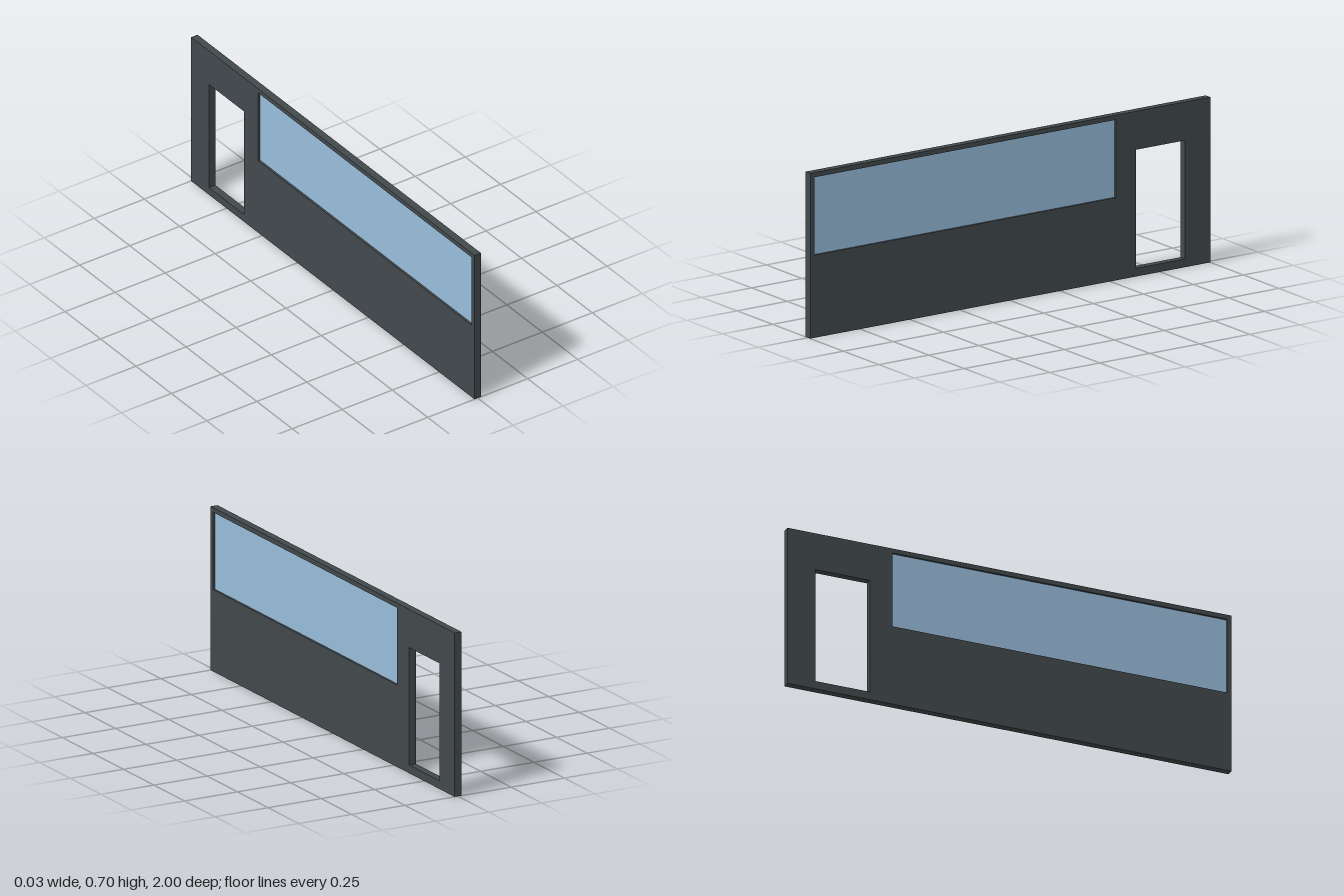
import * as THREE from 'three';

const THICKNESS = 0.032;
const GLASS_THICKNESS = 0.014;

// Rectangles in the plane of the wall: u runs along -z, v is up
const WALL = { u0: -1, u1: 1, v0: 0, v1: 0.7 };
const WINDOW = { u0: -0.98, u1: 0.528, v0: 0.35, v1: 0.68 };
const DOORWAY = { u0: 0.628, u1: 0.874, v0: 0.035, v1: 0.537 };

function outline(path, { u0, u1, v0, v1 }) {
  path.moveTo(u0, v0);
  path.lineTo(u1, v0);
  path.lineTo(u1, v1);
  path.lineTo(u0, v1);
  path.closePath();
  return path;
}

export function createModel() {
  const group = new THREE.Group();
  group.name = 'wallPanel';

  // Solid wall with a window opening and a doorway cut through it
  const shape = outline(new THREE.Shape(), WALL);
  for (const opening of [WINDOW, DOORWAY]) {
    shape.holes.push(outline(new THREE.Path(), opening));
  }
  const wallGeometry = new THREE.ExtrudeGeometry(shape, { depth: THICKNESS, bevelEnabled: false });
  wallGeometry.translate(0, 0, -THICKNESS / 2);
  wallGeometry.rotateY(Math.PI / 2);
  const wall = new THREE.Mesh(wallGeometry, new THREE.MeshStandardMaterial({ color: 0x42494c }));
  wall.name = 'wall';
  group.add(wall);

  // Glass pane set back from both wall faces
  const { u0, u1, v0, v1 } = WINDOW;
  const glass = new THREE.Mesh(
    new THREE.BoxGeometry(GLASS_THICKNESS, v1 - v0, u1 - u0),
    new THREE.MeshStandardMaterial({ color: 0x99bddb })
  );
  glass.position.set(0, (v0 + v1) / 2, -(u0 + u1) / 2);
  glass.name = 'windowGlass';
  group.add(glass);

  return group;
}
